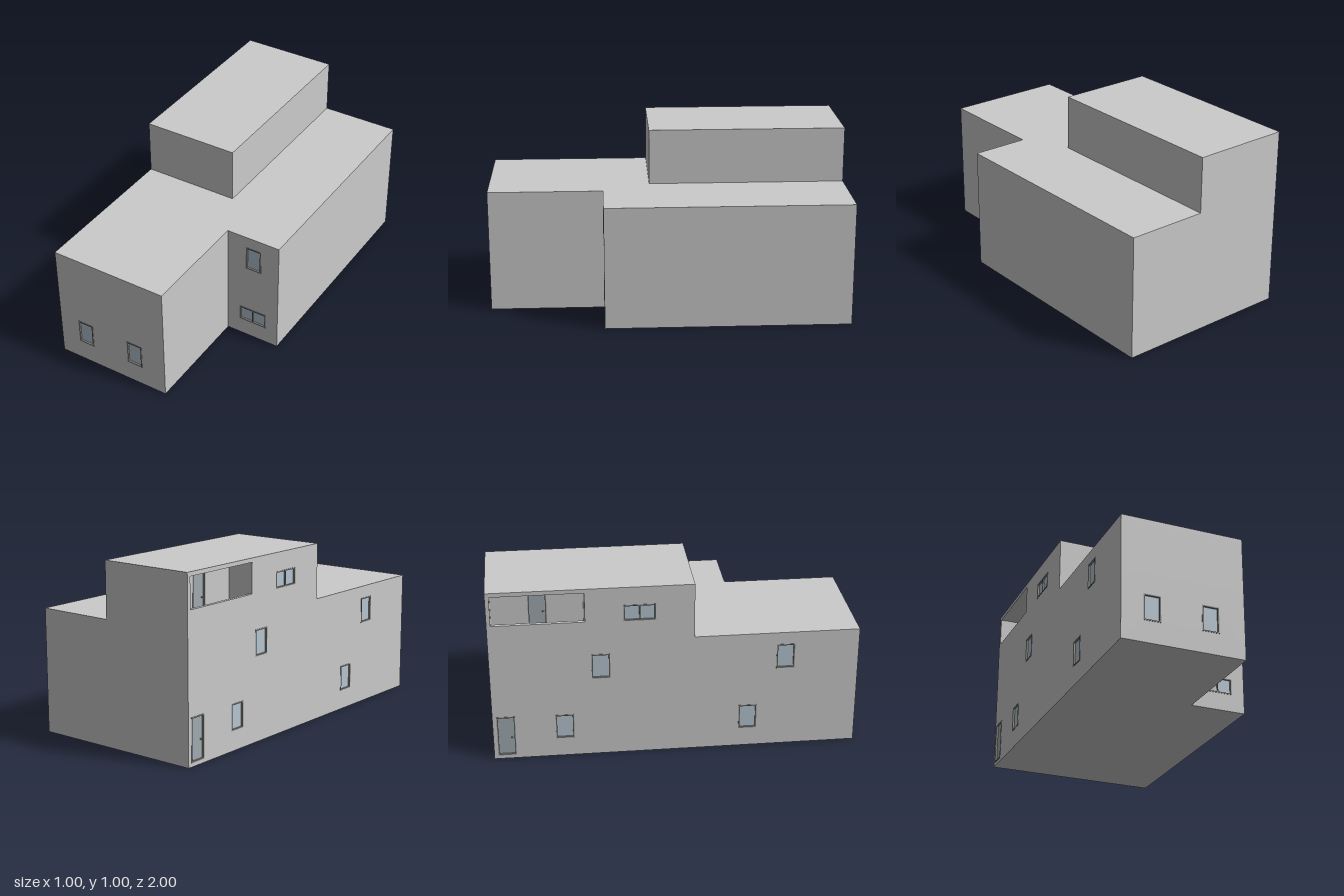
import * as THREE from 'three';

const mat = (color) => new THREE.MeshStandardMaterial({ color });
const wallMat = mat(0xcccccc);
const slabMat = mat(0xc2c2c2);
const frameMat = mat(0x8f8f8c);
const glassMat = mat(0xb6c6d2);
const doorMat = mat(0xa2acb2);
const T = 0.02; // wall thickness

function rectPath(Type, x0, y0, x1, y1) {
  return new Type([[x0, y0], [x1, y0], [x1, y1], [x0, y1]].map(([x, y]) => new THREE.Vector2(x, y)));
}

function add(parent, name, geometry, material, x = 0, y = 0, z = 0) {
  const mesh = new THREE.Mesh(geometry, material);
  mesh.name = name;
  mesh.position.set(x, y, z);
  parent.add(mesh);
  return mesh;
}

// Frame, pane and optional mullion set into a wall opening
function addWindow(wall, { u0, u1, y0, y1, split, door }) {
  const b = 0.007, w = u1 - u0, h = y1 - y0, cx = (u0 + u1) / 2, cy = (y0 + y1) / 2;
  const group = new THREE.Group();
  group.name = door ? 'door' : 'window';
  wall.add(group);
  const ring = rectPath(THREE.Shape, u0, y0, u1, y1);
  ring.holes.push(rectPath(THREE.Path, u0 + b, y0 + b, u1 - b, y1 - b));
  const depth = T + 0.002;
  add(group, 'frame', new THREE.ExtrudeGeometry(ring, { depth, bevelEnabled: false }), frameMat, 0, 0, -T);
  add(group, door ? 'doorLeaf' : 'glass', new THREE.BoxGeometry(w - 2 * b, h - 2 * b, 0.004),
    door ? doorMat : glassMat, cx, cy, -0.01);
  if (split) add(group, 'mullion', new THREE.BoxGeometry(0.005, h - 2 * b, 0.012), frameMat, cx, cy, -0.006);
  if (door) add(group, 'doorKnob', new THREE.SphereGeometry(0.005, 10, 8), frameMat, u1 - 0.02, y0 + h * 0.45, -0.005);
}

// Wall panel from p to q (x, z), outer face on the right-hand side of travel
function addWall(parent, name, p, q, y0, y1, openings = []) {
  const dx = q[0] - p[0], dz = q[1] - p[1];
  const wall = new THREE.Group();
  wall.name = name;
  wall.position.set(p[0], 0, p[1]);
  wall.rotation.y = Math.atan2(-dz, dx);
  parent.add(wall);
  const shape = rectPath(THREE.Shape, 0, y0, Math.hypot(dx, dz), y1);
  for (const o of openings) {
    shape.holes.push(rectPath(THREE.Path, o.u0, o.y0, o.u1, o.y1));
    if (!o.empty) addWindow(wall, o);
  }
  add(wall, 'wallPanel', new THREE.ExtrudeGeometry(shape, { depth: T, bevelEnabled: false }), wallMat, 0, 0, -T);
}

// Floor or roof slab over a footprint
function addSlab(parent, name, plan, y0, y1) {
  const shape = new THREE.Shape(plan.map(([x, z]) => new THREE.Vector2(x, -z)));
  const geometry = new THREE.ExtrudeGeometry(shape, { depth: y1 - y0, bevelEnabled: false });
  add(parent, name, geometry.rotateX(-Math.PI / 2), [wallMat, slabMat], 0, y0, 0);
}

const win = (u0, y0, w = 0.1, h = 0.145, extra = {}) => ({ u0, u1: u0 + w, y0, y1: y0 + h, ...extra });

export function createModel() {
  const model = new THREE.Group();
  model.name = 'house';

  const mainPlan = [[-0.5, 1], [0.18, 1], [0.18, 0.36], [0.5, 0.36], [0.5, -1], [-0.5, -1]];
  const topPlan = [[-0.5, 0.1], [0.05, 0.1], [0.05, -1], [-0.5, -1]];

  // Openings are listed by wall index, measured along the wall
  const storeys = [
    { name: 'groundFloor', plan: mainPlan, y0: 0.02, y1: 0.355, openings: {
      0: [win(0.12, 0.12, 0.095), win(0.44, 0.12, 0.095)],
      2: [win(0.077, 0.1, 0.168, 0.092, { split: true })],
      5: [win(0.022, 0.021, 0.1, 0.239, { door: true }), win(0.342, 0.11), win(1.347, 0.11)],
    } },
    { name: 'middleFloor', plan: mainPlan, y0: 0.38, y1: 0.665, openings: {
      2: [win(0.115, 0.477, 0.095)],
      5: [win(0.545, 0.47), win(1.548, 0.475)],
    } },
    { name: 'topFloor', plan: topPlan, y0: 0.69, y1: 0.98, openings: {
      3: [win(0.022, 0.81, 0.494, 0.167, { empty: true }), win(0.72, 0.805, 0.173, 0.093, { split: true })],
    } },
  ];

  for (const { name, plan, y0, y1, openings } of storeys) {
    const storey = new THREE.Group();
    storey.name = name;
    model.add(storey);
    plan.forEach((p, i) => addWall(storey, 'wall', p, plan[(i + 1) % plan.length], y0, y1, openings[i]));
  }

  addSlab(model, 'baseSlab', mainPlan, 0, 0.02);
  addSlab(model, 'floorSlab', mainPlan, 0.355, 0.38);
  addSlab(model, 'mainRoof', mainPlan, 0.665, 0.69);
  addSlab(model, 'topRoof', topPlan, 0.98, 1);

  // Recessed balcony behind the long opening, with its door
  const balcony = new THREE.Group();
  balcony.name = 'balcony';
  model.add(balcony);
  addWall(balcony, 'balconyBackWall', [-0.346, -0.98], [-0.346, -0.484], 0.69, 0.98,
    [win(0.2, 0.692, 0.1, 0.258, { door: true })]);
  addWall(balcony, 'balconySideWall', [-0.346, -0.484], [-0.48, -0.484], 0.69, 0.98);

  return model;
}
